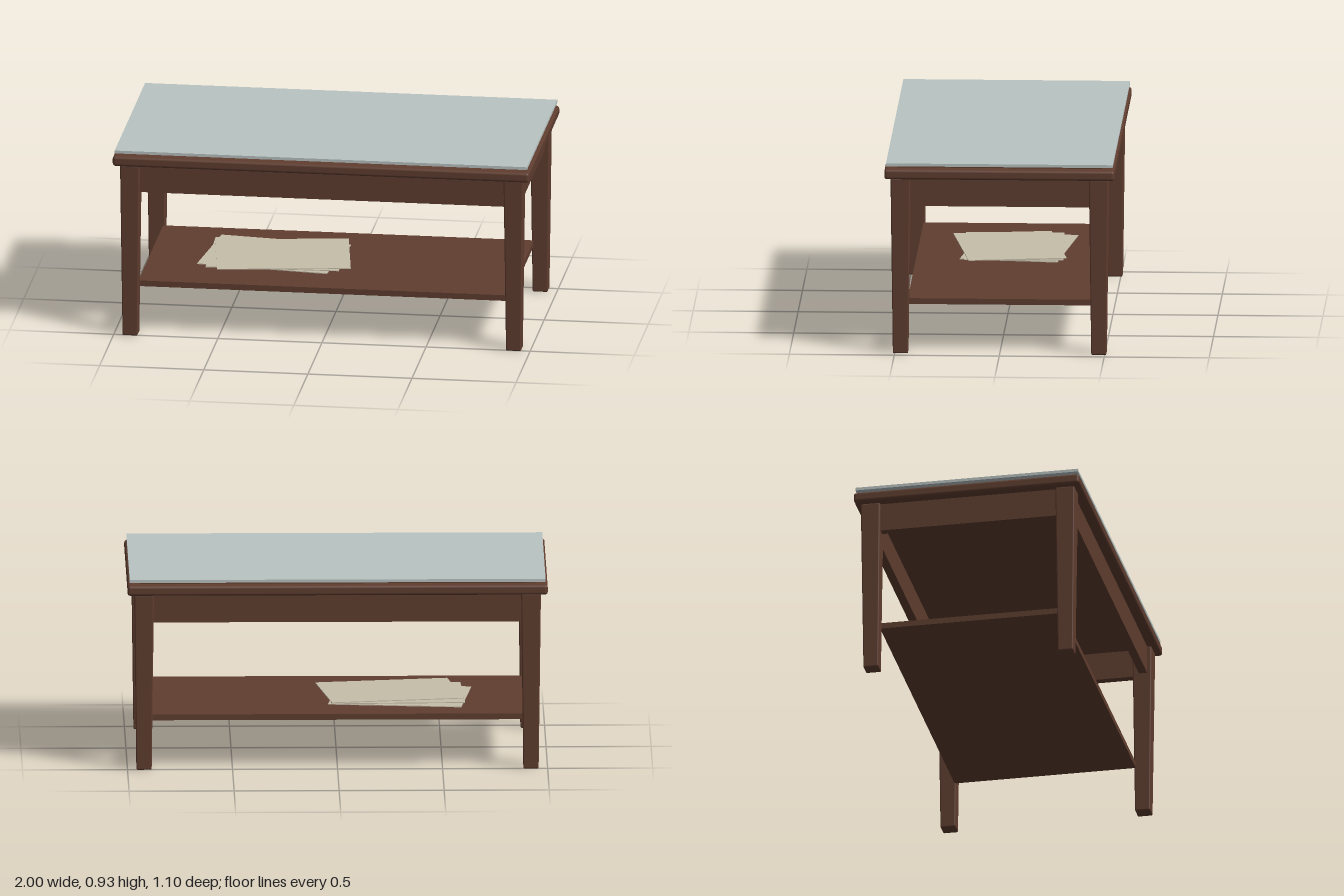
import * as THREE from 'three';
import { RoundedBoxGeometry } from 'three/addons/geometries/RoundedBoxGeometry.js';

function material(name, color) {
  const m = new THREE.MeshStandardMaterial({ color });
  m.name = name;
  return m;
}

export function createModel() {
  const wood = material('brown wood', 0x5f3d2f);
  const glass = material('pale glass', 0xb9c3c1);
  const paper = material('cream paper', 0xc6beaa);

  const table = new THREE.Group();
  table.name = 'coffeeTable';

  function add(name, geometry, mat, x, y, z, turn = 0) {
    const mesh = new THREE.Mesh(geometry, mat);
    mesh.name = name;
    mesh.position.set(x, y, z);
    mesh.rotation.y = turn;
    table.add(mesh);
    return mesh;
  }
  const box = (w, h, d) => new THREE.BoxGeometry(w, h, d);

  // Top board with softened edges, a thin raised panel and the glass sheet above
  add('topBoard', new RoundedBoxGeometry(2, 0.048, 1.096, 3, 0.013), wood, 0, 0.877, 0);
  add('topPanel', box(1.88, 0.01, 0.98), wood, 0, 0.902, 0);
  add('glassTop', box(1.98, 0.014, 1.08), glass, 0, 0.923, 0);

  // Square legs, tapering towards the foot
  const legHeight = 0.853;
  const legGeo = new RoundedBoxGeometry(0.094, legHeight, 0.094, 2, 0.007);
  const p = legGeo.attributes.position;
  for (let i = 0; i < p.count; i++) {
    const s = THREE.MathUtils.lerp(0.77, 1, p.getY(i) / legHeight + 0.5);
    p.setX(i, p.getX(i) * s);
    p.setZ(i, p.getZ(i) * s);
  }
  for (const sx of [-1, 1]) {
    for (const sz of [-1, 1]) {
      const name = (sz > 0 ? 'front' : 'back') + (sx > 0 ? 'Left' : 'Right') + 'Leg';
      add(name, legGeo, wood, sx * 0.921, legHeight / 2, sz * 0.4725);
    }
  }

  // Apron boards, set back slightly from the outer leg faces
  for (const s of [-1, 1]) {
    add(s > 0 ? 'frontApron' : 'backApron', box(1.8, 0.139, 0.04), wood, 0, 0.7845, s * 0.478);
    add(s > 0 ? 'leftApron' : 'rightApron', box(0.04, 0.139, 0.9), wood, s * 0.926, 0.7845, 0);
  }

  // Lower shelf
  add('shelf', box(1.78, 0.028, 0.88), wood, 0, 0.241, 0);

  // Loose stack of sheets: x, y, z, turn
  const sheetGeo = box(0.637, 0.004, 0.47);
  const sheets = [
    [-0.3025, 0.26, -0.04, -0.117],
    [-0.285, 0.268, -0.02, 0.033],
    [-0.255, 0.276, 0.001, 0.155],
  ];
  sheets.forEach(([x, y, z, turn], i) => add('paperSheet' + (i + 1), sheetGeo, paper, x, y, z, turn));

  return table;
}
